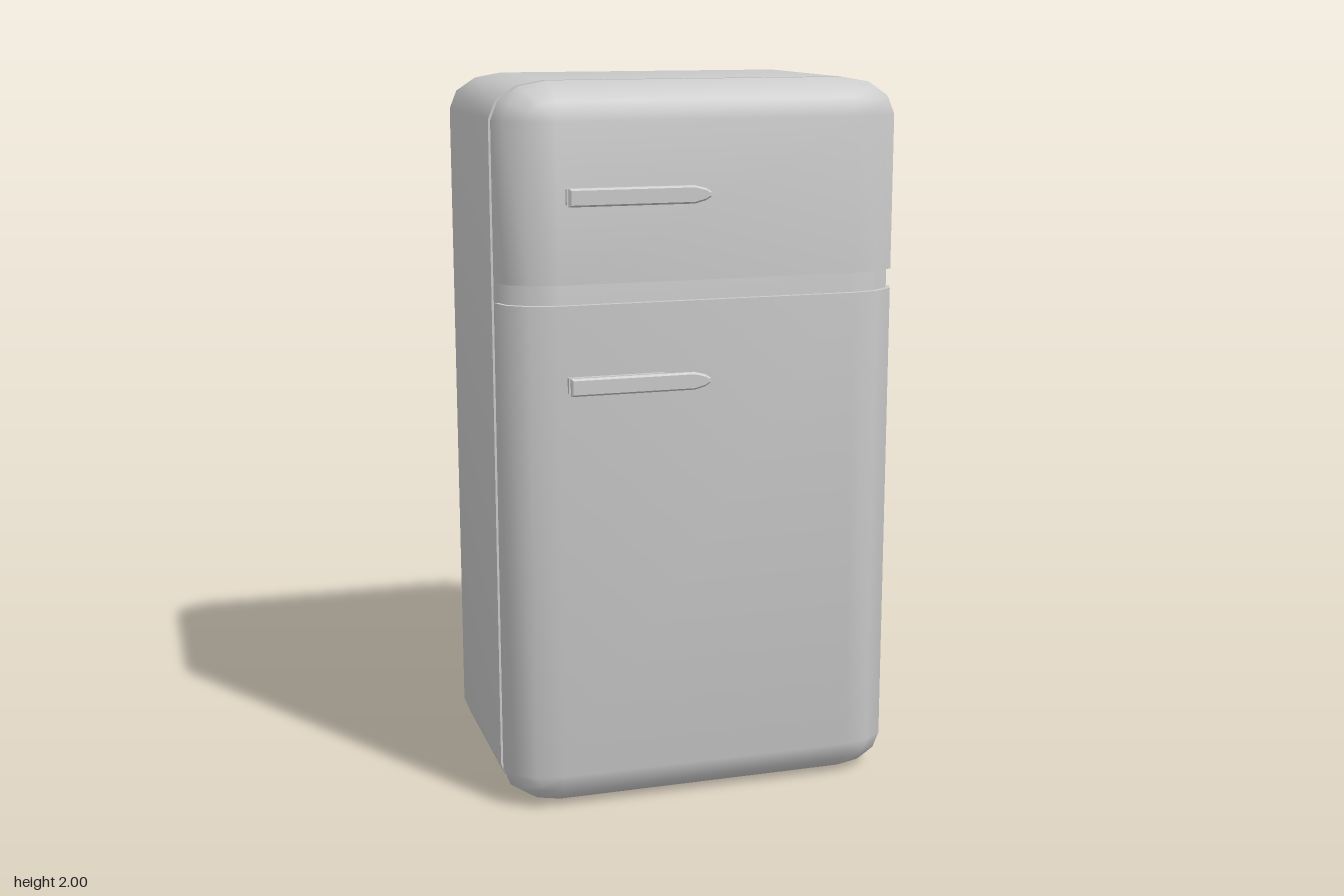
import * as THREE from 'three';
import { toCreasedNormals } from 'three/addons/utils/BufferGeometryUtils.js';

const HALF_W = 0.567, H = 2;
const RX = 0.15, RY = 0.1, RZ = 0.11; // elliptical edge radii
const STEPS = 3;
const material = new THREE.MeshStandardMaterial({ color: 0xcccccc });

// Rounded rectangle at depth z, counter-clockwise from the front.
// k: remaining corner radius (1 full, 0 none); a square end stays uncut.
function ring(z, k, o) {
  const w = o.w - RX * (1 - k);
  const top = o.y1 - (o.roundTop ? RY * (1 - k) : 0);
  const bottom = o.y0 + (o.roundBottom ? RY * (1 - k) : 0);
  const pts = [];
  [[1, 1], [-1, 1], [-1, -1], [1, -1]].forEach(([sx, sy], corner) => {
    const r = (sy > 0 ? o.roundTop : o.roundBottom) ? k : 0;
    for (let i = 0; i <= STEPS; i++) {
      const a = (corner + i / STEPS) * Math.PI / 2;
      pts.push(new THREE.Vector3(
        sx * (w - RX * r) + RX * r * Math.cos(a),
        (sy > 0 ? top - RY * r : bottom + RY * r) + RY * r * Math.sin(a), z));
    }
  });
  return pts;
}

// Joins rings ordered from back to front and closes both ends.
function loft(rings) {
  const pos = [];
  const tri = (a, b, c) => {
    const n = new THREE.Vector3().subVectors(b, a).cross(new THREE.Vector3().subVectors(c, a));
    if (n.length() > 1e-9) for (const p of [a, b, c]) pos.push(p.x, p.y, p.z);
  };
  const n = rings[0].length;
  for (let r = 0; r + 1 < rings.length; r++) {
    for (let i = 0; i < n; i++) {
      const j = (i + 1) % n, A = rings[r], B = rings[r + 1];
      tri(A[i], A[j], B[j]);
      tri(A[i], B[j], B[i]);
    }
  }
  const back = rings[0], front = rings[rings.length - 1];
  for (let i = 1; i + 1 < n; i++) {
    tri(front[0], front[i], front[i + 1]);
    tri(back[0], back[i + 1], back[i]);
  }
  const g = new THREE.BufferGeometry();
  g.setAttribute('position', new THREE.Float32BufferAttribute(pos, 3));
  return toCreasedNormals(g, 0.9);
}

// Shell with a flat end and an end rounded towards the front or the back.
function shell(name, flatZ, roundZ, options) {
  const o = { w: HALF_W, y0: 0, y1: H, roundTop: true, roundBottom: true, ...options };
  const dir = Math.sign(roundZ - flatZ);
  const rings = [ring(flatZ, 1, o)];
  for (let i = 0; i <= STEPS; i++) {
    const a = i / STEPS * Math.PI / 2;
    const z = roundZ - dir * RZ * (1 - Math.sin(a));
    if (Math.abs(z - flatZ) > 1e-4) rings.push(ring(z, Math.cos(a), o));
  }
  if (dir < 0) rings.reverse();
  const mesh = new THREE.Mesh(loft(rings), material);
  mesh.name = name;
  return mesh;
}

function box(name, x0, x1, h, z0, z1) {
  const mesh = new THREE.Mesh(new THREE.BoxGeometry(x1 - x0, h, z1 - z0), material);
  mesh.position.set((x0 + x1) / 2, 0, (z0 + z1) / 2);
  mesh.name = name;
  return mesh;
}

function handle(name, y, baseEnd) {
  const g = new THREE.Group();
  g.name = name;
  g.add(box('handleBase', -0.395, baseEnd, 0.042, 0.37, 0.388));
  g.add(box('handleStem', -0.38, baseEnd - 0.015, 0.026, 0.386, 0.405));
  // grip bar with a tapered tip
  const bevel = 0.005;
  const s = new THREE.Shape();
  s.moveTo(-0.39, -0.019);
  s.lineTo(-0.055, -0.019);
  s.lineTo(-0.025, -0.011);
  s.lineTo(-0.014, -0.004);
  s.lineTo(-0.014, 0.004);
  s.lineTo(-0.025, 0.011);
  s.lineTo(-0.055, 0.019);
  s.lineTo(-0.39, 0.019);
  s.closePath();
  const bar = new THREE.Mesh(new THREE.ExtrudeGeometry(s, {
    depth: 0.006, bevelEnabled: true, bevelSize: bevel, bevelThickness: bevel, bevelSegments: 1,
  }), material);
  bar.position.z = 0.408;
  bar.name = 'handleBar';
  g.add(bar);
  g.position.y = y;
  return g;
}

export function createModel() {
  const model = new THREE.Group();
  model.name = 'refrigerator';
  model.add(
    shell('cabinet', 0.235, -0.42),
    // inset core that shows in the seal gap and between the doors
    shell('doorSeal', 0.22, 0.36, { w: HALF_W - 0.006, y0: 0.01, y1: H - 0.01 }),
    shell('freezerDoor', 0.265, 0.375, { y0: 1.475, roundBottom: false }),
    shell('mainDoor', 0.265, 0.375, { y1: 1.42, roundTop: false }),
    handle('freezerHandle', 1.707, -0.145),
    handle('mainHandle', 1.208, -0.128),
  );
  return model;
}
